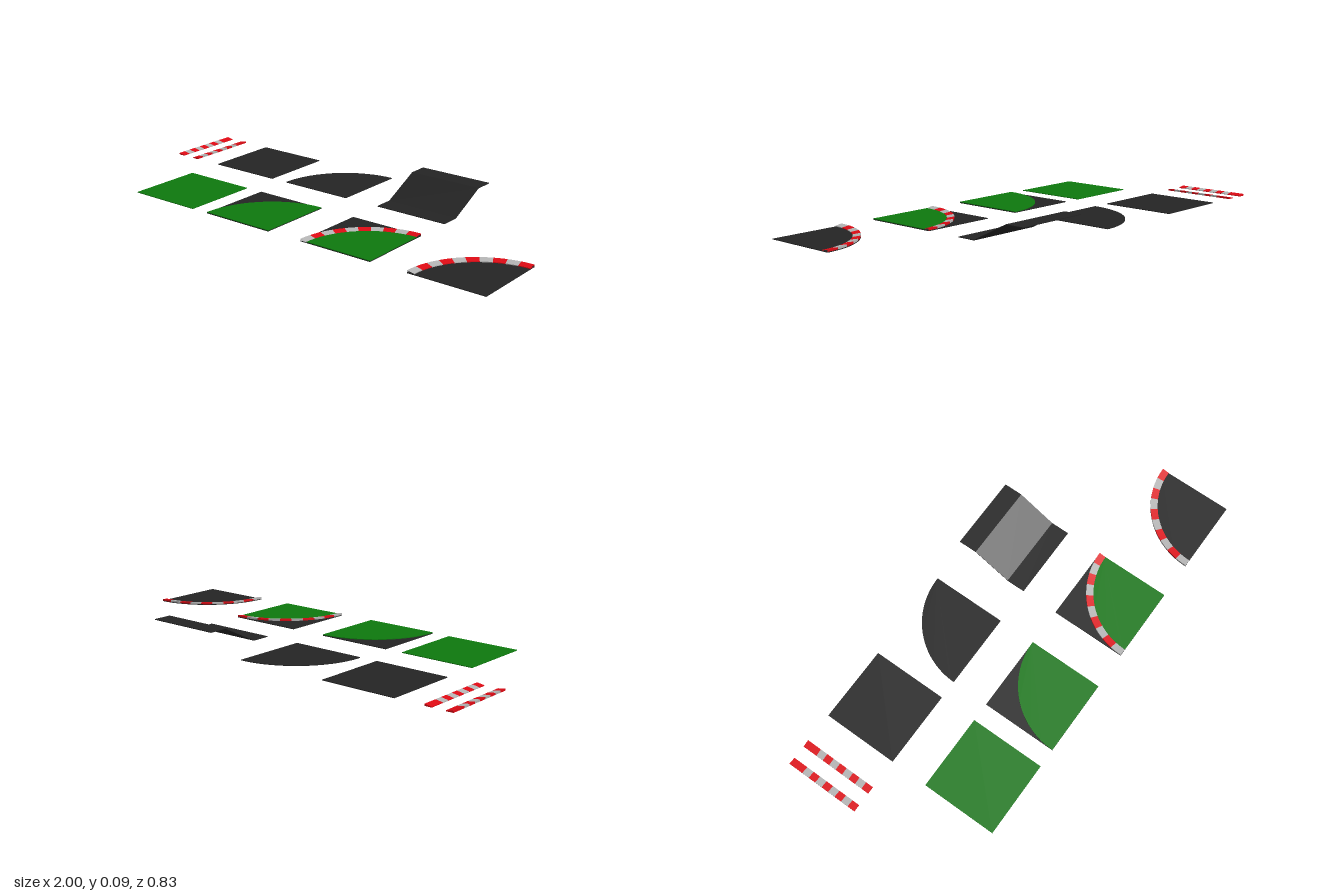
import * as THREE from 'three';

const S = 1 / 3;          // tile side
const T = 0.003;          // slab thickness
const W = 0.031;          // kerb width
const LOW = 0.003, HIGH = 0.008; // kerb height at its inner and outer edge
const STRIPES = 10;
const BACK = -0.25, FRONT = 0.25; // row centres

const paint = (color) => new THREE.MeshStandardMaterial({ color, flatShading: true, side: THREE.DoubleSide });

export function createModel() {
  const model = new THREE.Group();
  const road = paint(0x242424), grass = paint(0x0e780e);
  const red = paint(0xdd0a14), grey = paint(0xb4b4b4);

  const add = (parent, name, geometry, material, x = 0, y = 0, z = 0) => {
    const mesh = new THREE.Mesh(geometry, material);
    mesh.name = name;
    mesh.position.set(x, y, z);
    parent.add(mesh);
    return mesh;
  };

  const square = (name, material, x, z) =>
    add(model, name, new THREE.BoxGeometry(S, T, S), material, x, T / 2, z);

  // Quarter disc whose centre is the tile's right front corner
  const quarter = (name, material, x, y, z, r = S) => {
    const shape = new THREE.Shape();
    shape.moveTo(0, 0);
    shape.lineTo(0, r);
    shape.absarc(0, 0, r, Math.PI / 2, Math.PI, false);
    shape.closePath();
    const geometry = new THREE.ExtrudeGeometry(shape, { depth: T, bevelEnabled: false, curveSegments: 32 });
    geometry.rotateX(-Math.PI / 2);
    add(model, name, geometry, material, x + S / 2, y, z + S / 2);
  };

  // Striped straight kerb, wedge section with the high edge on the given side
  const straightKerb = (name, x, side) => {
    const kerb = new THREE.Group();
    kerb.name = name;
    const i = -side * W / 2, o = side * W / 2;
    const section = new THREE.Shape([[i, 0], [o, 0], [o, HIGH], [i, LOW]].map((p) => new THREE.Vector2(...p)));
    const step = S / STRIPES;
    const geometry = new THREE.ExtrudeGeometry(section, { depth: step, bevelEnabled: false });
    for (let k = 0; k < STRIPES; k++) {
      const isRed = k % 2 === 0 || k === STRIPES - 1;
      add(kerb, 'kerbStripe', geometry, isRed ? red : grey, 0, 0, S / 2 - (k + 1) * step);
    }
    kerb.position.set(x, 0, BACK);
    model.add(kerb);
  };

  // Striped quarter-circle kerb lying on a tile
  const curvedKerb = (name, x, z) => {
    const kerb = new THREE.Group();
    kerb.name = name;
    const section = [[S - W, 0], [S, 0], [S, HIGH], [S - W, LOW], [S - W, 0]].map((p) => new THREE.Vector2(...p));
    const step = Math.PI / 2 / STRIPES;
    for (let k = 0; k < STRIPES; k++) {
      const geometry = new THREE.LatheGeometry(section, 3, Math.PI + k * step, step);
      add(kerb, 'curvedKerbStripe', geometry, k % 2 === 0 ? red : grey);
    }
    kerb.position.set(x + S / 2, T, z + S / 2);
    model.add(kerb);
  };

  // Back row: pair of kerbs, road square, road quarter
  straightKerb('leftEdgeKerb', -1 + W / 2, -1);
  straightKerb('rightEdgeKerb', -0.88 - W / 2, 1);
  square('roadTile', road, -0.583, BACK);
  quarter('roadQuarter', road, -0.167, 0, BACK);

  // Ramp: flat, slope, flat, as a thin bent sheet
  const line = [[0, 0], [S / 4, 0], [S * 0.75, S / 4], [S, S / 4]];
  const outline = [...line, ...line.map(([a, b]) => [a, b + T]).reverse()];
  const rampShape = new THREE.Shape(outline.map((p) => new THREE.Vector2(...p)));
  const rampGeometry = new THREE.ExtrudeGeometry(rampShape, { depth: S, bevelEnabled: false });
  rampGeometry.rotateY(Math.PI / 2);
  add(model, 'ramp', rampGeometry, road, 0.333 - S / 2, 0, BACK + S / 2);

  // Front row: grass square, grass corner, kerbed grass corner, kerbed road quarter
  square('grassTile', grass, -0.583, FRONT);

  square('cornerRoad', road, -0.167, FRONT);
  quarter('cornerGrass', grass, -0.167, T, FRONT);

  square('kerbedCornerRoad', road, 0.333, FRONT);
  quarter('kerbedCornerGrass', grass, 0.333, T, FRONT, S - W);
  curvedKerb('grassCornerKerb', 0.333, FRONT);

  quarter('kerbedRoadQuarter', road, 0.833, 0, FRONT);
  curvedKerb('roadQuarterKerb', 0.833, FRONT);

  return model;
}
